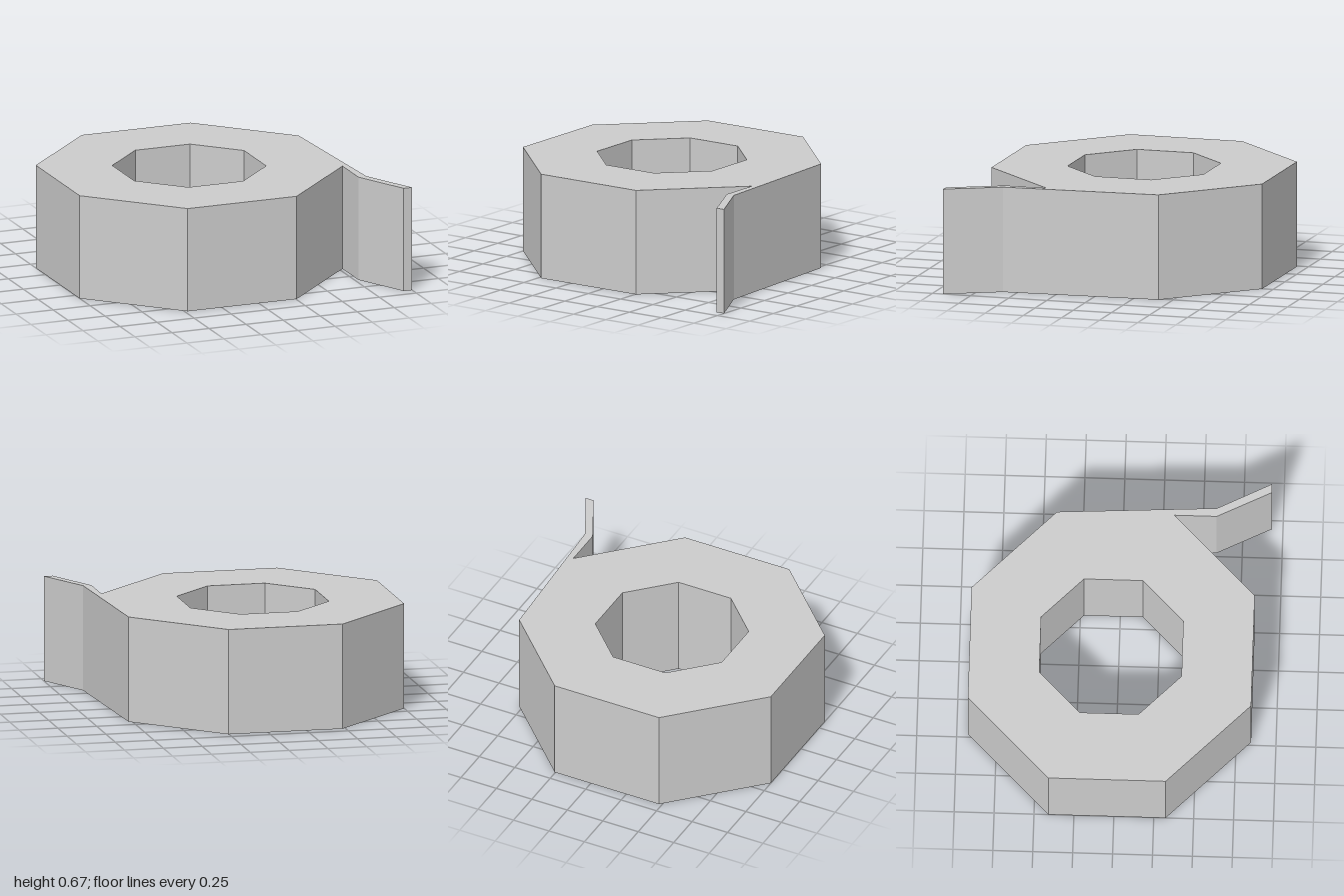
import * as THREE from 'three';

export function createModel() {
  const model = new THREE.Group();
  const H = 0.67;                     // overall height
  const CX = -0.113, CZ = -0.043;     // centre of the octagonal roll
  const R = 0.96, r = 0.482;          // corner radii, outside and hole
  const STEP = Math.PI / 4;

  const grey = new THREE.MeshStandardMaterial({ color: 0xcccccc, flatShading: true, side: THREE.DoubleSide });
  grey.name = 'light grey';

  const add = (name, geometry, parent = model) => {
    const mesh = new THREE.Mesh(geometry, grey);
    mesh.name = name;
    parent.add(mesh);
    return mesh;
  };

  const octagon = (radius) => Array.from({ length: 8 }, (_, i) => {
    const a = (i + 0.5) * STEP;
    return new THREE.Vector2(radius * Math.cos(a), radius * Math.sin(a));
  });

  // Octagonal roll, hollow and open underneath
  const roll = new THREE.Group();
  roll.name = 'roll';
  roll.position.set(CX, 0, CZ);
  model.add(roll);

  // Seven outer sides; the eighth (+x) is closed by the loose end
  add('outerWall', new THREE.CylinderGeometry(R, R, H, 7, 1, true, 2.5 * STEP, 7 * STEP), roll).position.y = H / 2;
  add('holeWall', new THREE.CylinderGeometry(r, r, H, 8, 1, true, STEP / 2), roll).position.y = H / 2;

  const ring = new THREE.Shape(octagon(R));
  ring.holes.push(new THREE.Path(octagon(r)));
  add('topRing', new THREE.ShapeGeometry(ring).rotateX(-Math.PI / 2), roll).position.y = H;

  // Loose end peeling off the side, drawn in x and z and extruded downwards
  const side = CX + R * Math.cos(STEP / 2);
  const strip = new THREE.Shape([
    [side, CZ - R * Math.sin(STEP / 2)], [0.828, 0.59], [1, 0.93], [0.943, 0.93], [side, 0.59],
  ].map(([x, z]) => new THREE.Vector2(x, z)));
  add('looseEnd', new THREE.ExtrudeGeometry(strip, { depth: H, bevelEnabled: false }).rotateX(Math.PI / 2)).position.y = H;

  return model;
}
